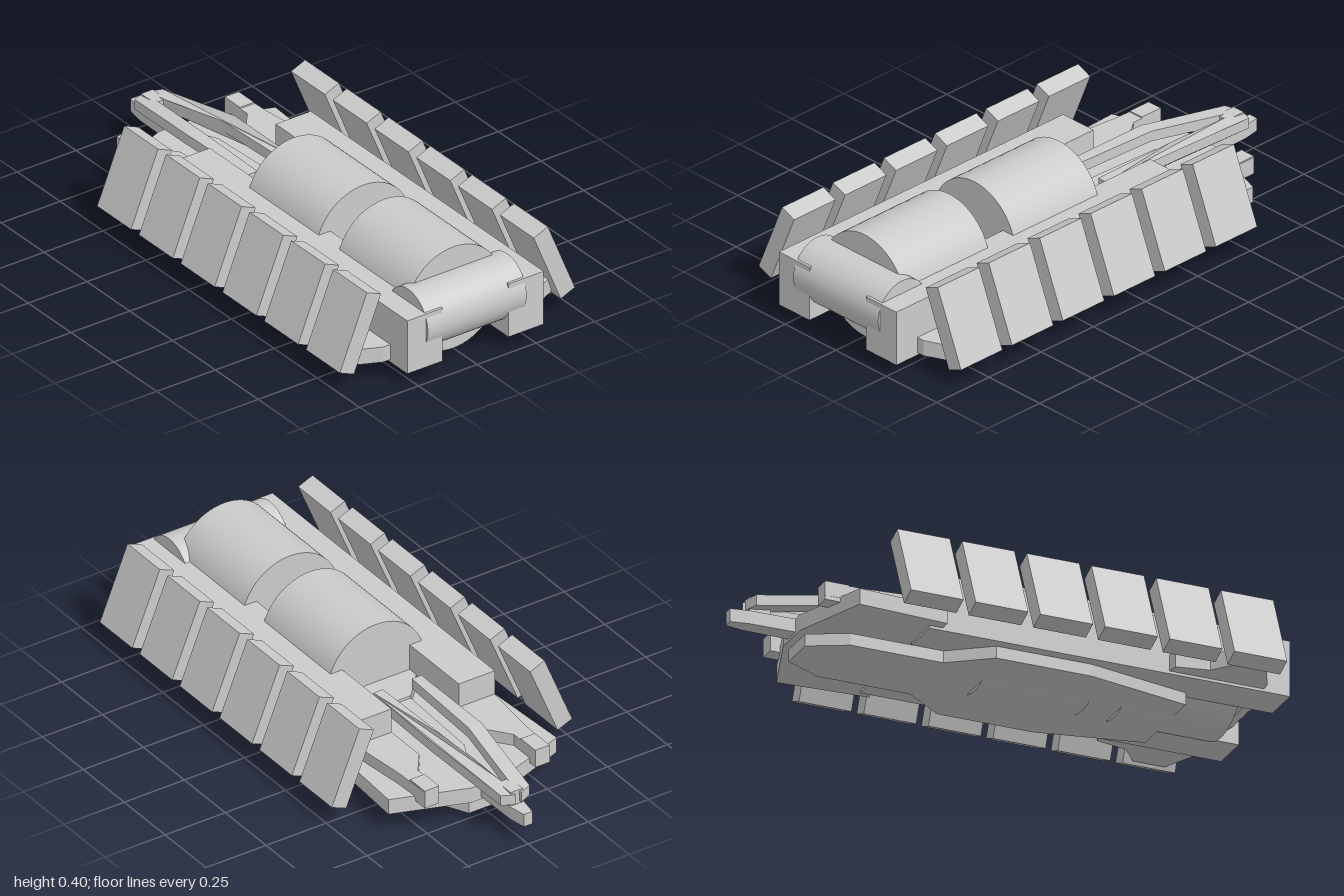
import * as THREE from 'three';

const grey = new THREE.MeshStandardMaterial({ color: 0xcccccc });

export function createModel() {
  const model = new THREE.Group();

  function add(name, geometry, x = 0, y = 0, z = 0) {
    const mesh = new THREE.Mesh(geometry, grey);
    mesh.name = name;
    mesh.position.set(x, y, z);
    model.add(mesh);
    return mesh;
  }

  // Flat slab from an outline of [x, z] points, between two heights
  function slab(points, bottom, top) {
    const shape = new THREE.Shape(points.map(([x, z]) => new THREE.Vector2(x, -z)));
    const geometry = new THREE.ExtrudeGeometry(shape, { depth: top - bottom, bevelEnabled: false });
    return geometry.rotateX(-Math.PI / 2).translate(0, bottom, 0);
  }

  // Close a half outline across x = 0, or flip it to the other side
  const flip = (points) => points.map(([x, z]) => [-x, z]).reverse();
  const symmetric = (points) => [...points, ...flip(points)];

  // Keel plate
  add('keelPlate', slab(symmetric([
    [0.17, 0.65], [0.25, 0.26], [0.25, -0.1], [0.14, -0.25], [0.14, -0.6], [0.07, -0.74],
  ]), 0.015, 0.06));

  // Deck with front outriggers and rear wings
  add('deckPlate', slab(symmetric([
    [0.14, 0.89], [0.32, 0.89], [0.43, 0.84], [0.43, 0.72], [0.355, 0.66], [0.33, 0.54],
    [0.2, 0.52], [0.2, -0.32], [0.33, -0.32], [0.35, -0.66], [0.07, -0.76],
  ]), 0.07, 0.13));

  // Two drums along the body
  for (const z of [0.6575, 0.1325]) {
    add('bodyDrum', new THREE.CylinderGeometry(0.201, 0.201, 0.405, 64).rotateX(Math.PI / 2), 0, 0.204, z);
  }

  // Cross drum at the nose
  add('noseDrum', new THREE.CylinderGeometry(0.115, 0.115, 0.42, 48).rotateZ(Math.PI / 2), 0, 0.205, 0.885);

  // Tapered block behind the drums
  add('rearHousing', slab(symmetric([[0.14, -0.05], [0.14, -0.11], [0.05, -0.21]]), 0.12, 0.17));

  // Central beam and tail spike
  add('tailBeam', slab(symmetric([
    [0.05, -0.2], [0.035, -0.56], [0.03, -0.93], [0.018, -1],
  ]), 0.08, 0.13));
  add('beamRidge', slab(symmetric([
    [0.05, -0.2], [0.035, -0.56], [0.015, -0.6], [0.01, -0.86],
  ]), 0.13, 0.16));

  const prong = [
    [0.06, -0.2], [0.1, -0.2], [0.105, -0.56], [0.06, -0.92],
    [0.012, -0.94], [0.012, -0.85], [0.05, -0.56],
  ];
  const arm = [
    [0.14, -0.36], [0.29, -0.36], [0.265, -0.6], [0.26, -0.75], [0.2, -0.75], [0.2, -0.62], [0.14, -0.54],
  ];
  const panel = new THREE.Shape([[0.5, 0.085], [0.385, 0.365], [0.325, 0.34], [0.44, 0.06]]
    .map(([x, y]) => new THREE.Vector2(x, y)));

  for (const side of [1, -1]) {
    const place = (points) => (side > 0 ? points : flip(points));

    // Side rail, rear arm and its end block
    add('sideRail', new THREE.BoxGeometry(0.15, 0.21, 1.36), side * 0.215, 0.165, 0.31);
    add('rearArm', slab(place(arm), 0.125, 0.175));
    add('armEnd', new THREE.BoxGeometry(0.06, 0.07, 0.09), side * 0.23, 0.145, -0.705);

    // Prong that slopes down towards the tail
    const geometry = slab(place(prong), 0.19, 0.23);
    const position = geometry.attributes.position;
    for (let i = 0; i < position.count; i++) {
      const drop = Math.max(0, -0.53 - position.getZ(i)) * 0.13;
      position.setY(i, position.getY(i) - drop);
    }
    geometry.computeVertexNormals();
    add('tailProng', geometry);

    // Row of tilted armour panels
    for (let i = 0; i < 6; i++) {
      const plate = new THREE.ExtrudeGeometry(panel, { depth: 0.198, bevelEnabled: false });
      plate.translate(0, 0, -0.099);
      const mesh = add('sidePanel', plate, 0, 0, 0.785 - i * 0.244);
      if (side < 0) mesh.rotation.y = Math.PI;
    }
  }
  add('tailTip', new THREE.BoxGeometry(0.05, 0.06, 0.08), 0, 0.155, -0.89);

  return model;
}
